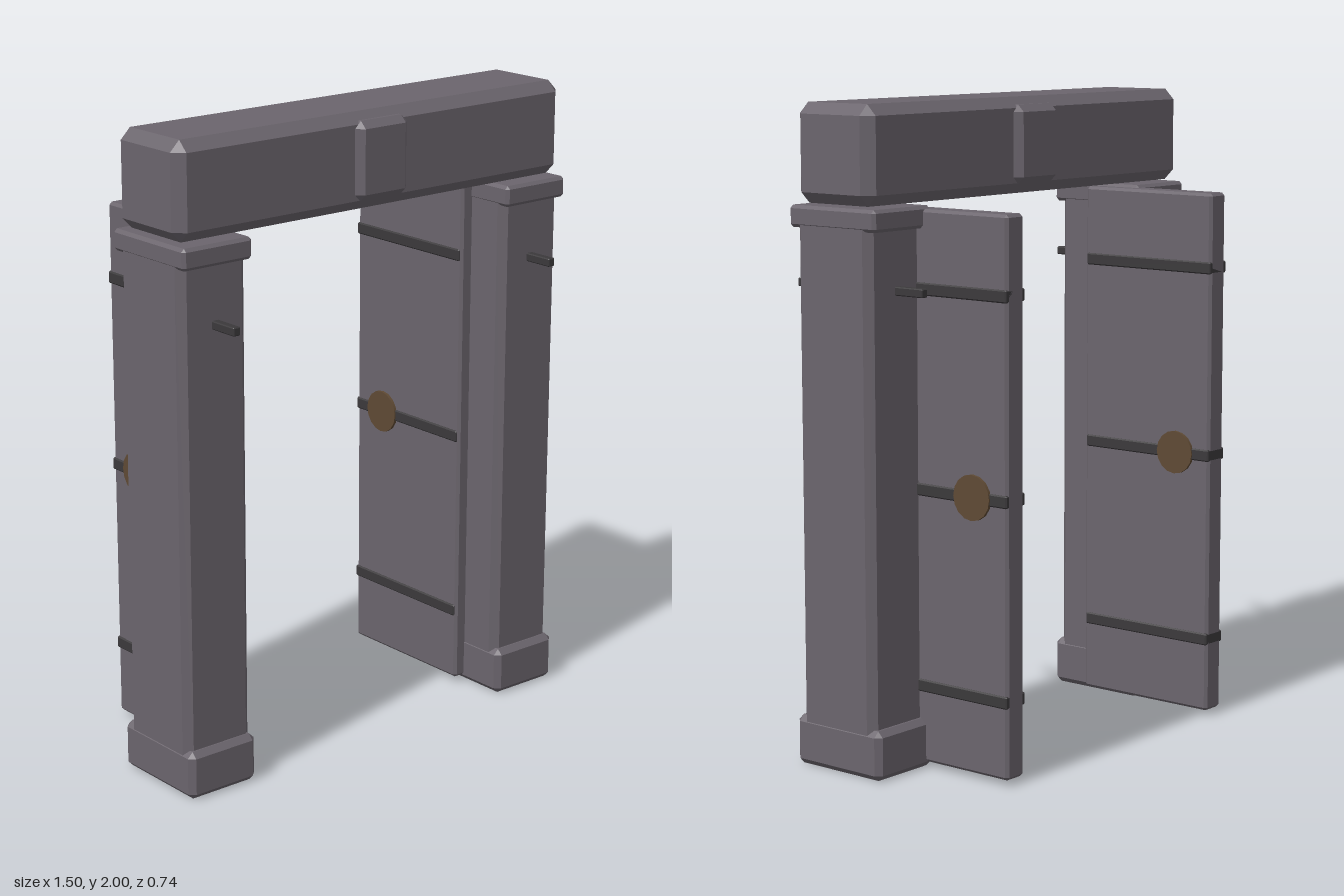
import * as THREE from 'three';
import { ConvexGeometry } from 'three/addons/geometries/ConvexGeometry.js';

const mat = (name, color) => {
  const m = new THREE.MeshStandardMaterial({ color });
  m.name = name;
  return m;
};

// Box between two corners with every edge chamfered by b
function chamferBox(min, max, b) {
  const c = min.map((v, i) => (v + max[i]) / 2);
  const h = min.map((v, i) => (max[i] - v) / 2);
  const pts = [];
  for (const sx of [-1, 1]) for (const sy of [-1, 1]) for (const sz of [-1, 1]) {
    for (let full = 0; full < 3; full++) {
      const [x, y, z] = h.map((v, i) => (i === full ? v : v - b));
      pts.push(new THREE.Vector3(c[0] + sx * x, c[1] + sy * y, c[2] + sz * z));
    }
  }
  return new ConvexGeometry(pts);
}

export function createModel() {
  const stone = mat('stone', 0x6b656d);
  const iron = mat('iron', 0x3b393b);
  const bronze = mat('bronze', 0x5f4a34);
  const model = new THREE.Group();
  model.name = 'gate';

  const add = (parent, name, geometry, material) => {
    const mesh = new THREE.Mesh(geometry, material);
    mesh.name = name;
    parent.add(mesh);
    return mesh;
  };
  const box = (parent, name, min, max, b, material = stone) =>
    add(parent, name, chamferBox(min, max, b), material);

  // Lintel with a keystone through its middle
  box(model, 'lintel', [-0.75, 1.705, -0.03], [0.75, 2, 0.27], 0.033);
  box(model, 'keystone', [-0.1, 1.735, -0.052], [0.1, 1.977, 0.292], 0.022);

  for (const side of [-1, 1]) {
    const label = side > 0 ? 'left' : 'right';
    // Mirrored box: x limits are given for the +x side
    const mbox = (parent, name, x0, x1, y0, y1, z0, z1, b, m) => box(parent, name,
      [side > 0 ? x0 : -x1, y0, z0], [side > 0 ? x1 : -x0, y1, z1], b, m);

    // Pillar
    const pillar = new THREE.Group();
    pillar.name = label + 'Pillar';
    model.add(pillar);
    mbox(pillar, 'base', 0.5, 0.75, 0, 0.152, -0.05, 0.292, 0.018);
    mbox(pillar, 'shaft', 0.502, 0.748, 0.015, 1.69, -0.025, 0.27, 0.024);
    mbox(pillar, 'cap', 0.5, 0.75, 1.633, 1.699, -0.05, 0.292, 0.01);
    mbox(pillar, 'pin', 0.609, 0.635, 1.442, 1.468, -0.13, 0.37, 0.003, iron);

    // Door leaf, standing open
    const door = new THREE.Group();
    door.name = label + 'Door';
    model.add(door);
    mbox(door, 'leaf', 0.461, 0.539, 0.018, 1.69, -0.37, 0.13, 0.009);
    for (const y of [0.255, 0.855, 1.455])
      mbox(door, 'strap', 0.456, 0.544, y - 0.019, y + 0.019, -0.37, 0.122, 0.004, iron);
    const disc = add(door, 'handleDisc',
      new THREE.CylinderGeometry(0.069, 0.069, 0.097, 16).rotateZ(Math.PI / 2), bronze);
    disc.position.set(side * 0.5, 0.855, -0.24);
  }
  return model;
}
